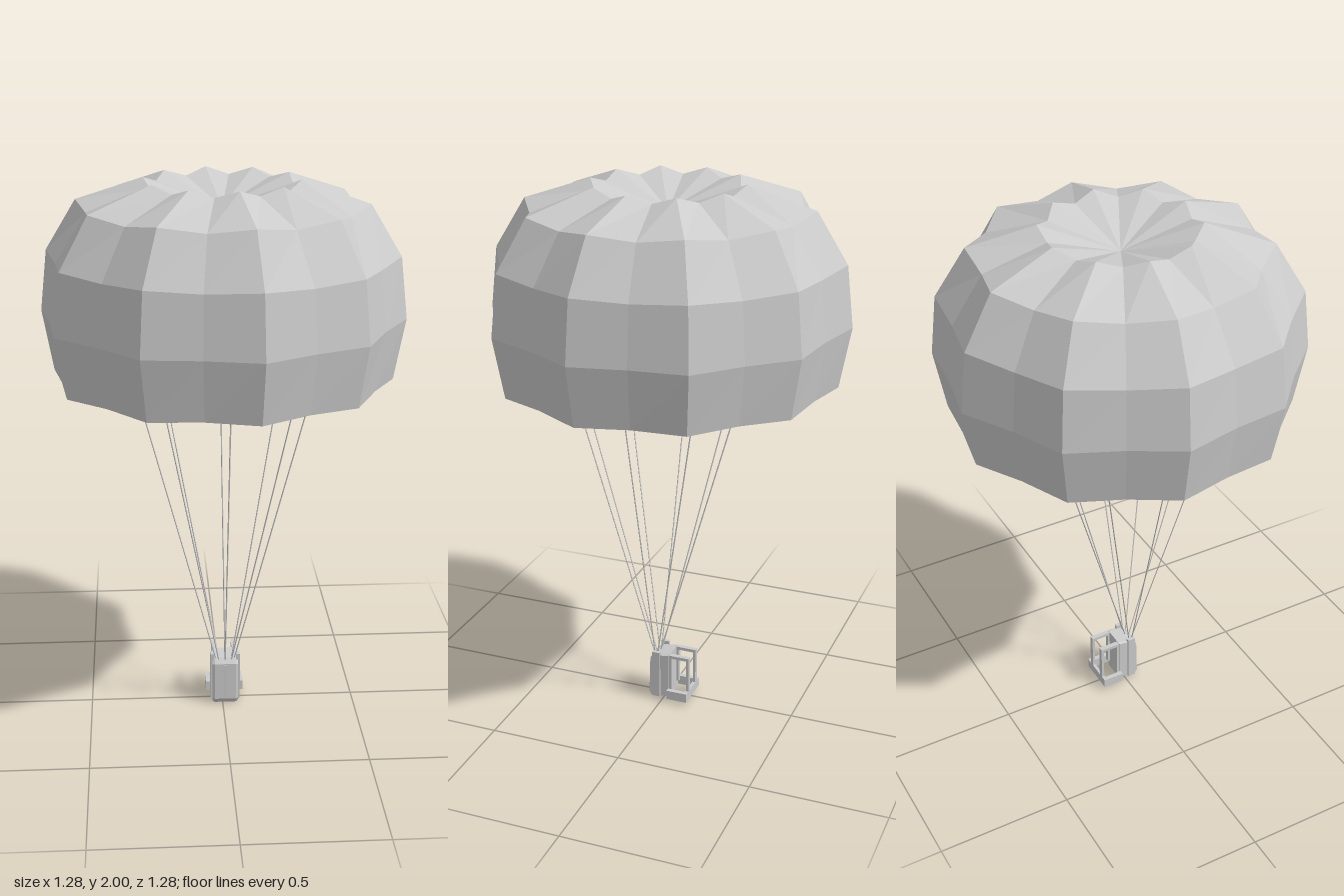
import * as THREE from 'three';

const mat = new THREE.MeshStandardMaterial({ color: 0xcccccc, flatShading: true, side: THREE.DoubleSide });
const GORES = 10;

// Scalloped shell: each profile row is [ridge radius, ridge y, valley radius, valley y]
function canopyGeometry() {
  const outer = [
    [0.61, 1.3, 0.575, 1.305],
    [0.65, 1.52, 0.608, 1.52],
    [0.625, 1.74, 0.585, 1.73],
    [0.515, 1.92, 0.475, 1.9],
    [0.275, 2.0, 0.252, 1.975],
    [0, 1.9, 0, 1.9],
  ];
  const t = 0.012;
  const inner = outer.map(([r, y, rv, yv], i) => {
    const drop = i > 2 ? t : 0;
    return [Math.max(0, r - t), y - drop, Math.max(0, rv - t), yv - drop];
  });
  const profile = [...inner.reverse(), ...outer];
  const sides = GORES * 2;
  const pos = [], index = [];
  for (const [r, y, rv, yv] of profile) {
    for (let i = 0; i < sides; i++) {
      const a = THREE.MathUtils.degToRad(9 + i * 18);
      const radius = i % 2 ? rv : r;
      pos.push(radius * Math.cos(a), i % 2 ? yv : y, radius * Math.sin(a));
    }
  }
  for (let j = 0; j < profile.length - 1; j++) {
    for (let i = 0; i < sides; i++) {
      const n = (i + 1) % sides;
      const a = j * sides + i, b = j * sides + n, c = a + sides, d = b + sides;
      index.push(a, c, b, b, c, d);
    }
  }
  const g = new THREE.BufferGeometry();
  g.setAttribute('position', new THREE.Float32BufferAttribute(pos, 3));
  g.setIndex(index);
  const flat = g.toNonIndexed();
  flat.computeVertexNormals();
  return flat;
}

function add(parent, name, geometry, x = 0, y = 0, z = 0) {
  const m = new THREE.Mesh(geometry, mat);
  m.name = name;
  m.position.set(x, y, z);
  parent.add(m);
  return m;
}

function box(parent, name, w, h, d, x, y, z) {
  return add(parent, name, new THREE.BoxGeometry(w, h, d), x, y, z);
}

// Thin cord between two points
function cord(parent, name, from, to, radius) {
  const dir = to.clone().sub(from);
  const m = add(parent, name, new THREE.CylinderGeometry(radius, radius, dir.length(), 4));
  m.position.copy(from).addScaledVector(dir, 0.5);
  m.quaternion.setFromUnitVectors(new THREE.Vector3(0, 1, 0), dir.normalize());
}

export function createModel() {
  const model = new THREE.Group();
  model.name = 'parachute';
  add(model, 'canopy', canopyGeometry());

  // Eight suspension lines fanning out from the pack
  const lines = new THREE.Group();
  lines.name = 'suspensionLines';
  lines.position.set(0.01, 0, 0.035);
  for (let i = 0; i < 8; i++) {
    const a = i * Math.PI / 4, c = Math.cos(a), s = Math.sin(a);
    cord(lines, 'suspensionLine',
      new THREE.Vector3(0.035 * c, 0.18, 0.008 * s),
      new THREE.Vector3(0.43 * c, 1.68, 0.43 * s), 0.0025);
  }
  model.add(lines);

  // Harness pack, front bulging towards +z
  const pack = new THREE.Group();
  pack.name = 'harnessPack';
  pack.position.x = 0.01;
  const side = new THREE.Shape([
    [-0.028, 0.012], [0.045, 0], [0.058, 0.02], [0.054, 0.165], [0.035, 0.185], [-0.028, 0.195],
  ].map(([z, y]) => new THREE.Vector2(-z, y)));
  const body = new THREE.ExtrudeGeometry(side, {
    depth: 0.08, bevelEnabled: true, bevelSegments: 1, bevelSize: 0.004, bevelThickness: 0.008, bevelOffset: -0.004,
  });
  body.translate(0, 0, -0.04);
  body.rotateY(Math.PI / 2);
  add(pack, 'packBody', body);
  box(pack, 'packFlap', 0.012, 0.13, 0.006, 0, 0.095, 0.057);

  // Shoulder straps and leg supports, mirrored
  for (const s of [-1, 1]) {
    box(pack, 'strapTop', 0.018, 0.012, 0.08, s * 0.038, 0.186, -0.064);
    box(pack, 'strapUpright', 0.018, 0.15, 0.01, s * 0.038, 0.117, -0.1);
    box(pack, 'strapBack', 0.018, 0.15, 0.01, s * 0.038, 0.117, -0.031);
    box(pack, 'riser', 0.014, 0.19, 0.03, s * 0.049, 0.105, 0.025);
    box(pack, 'beltSide', 0.018, 0.036, 0.08, s * 0.062, 0.033, -0.064);
  }
  box(pack, 'beltBack', 0.14, 0.036, 0.012, 0, 0.033, -0.099);
  model.add(pack);
  return model;
}
